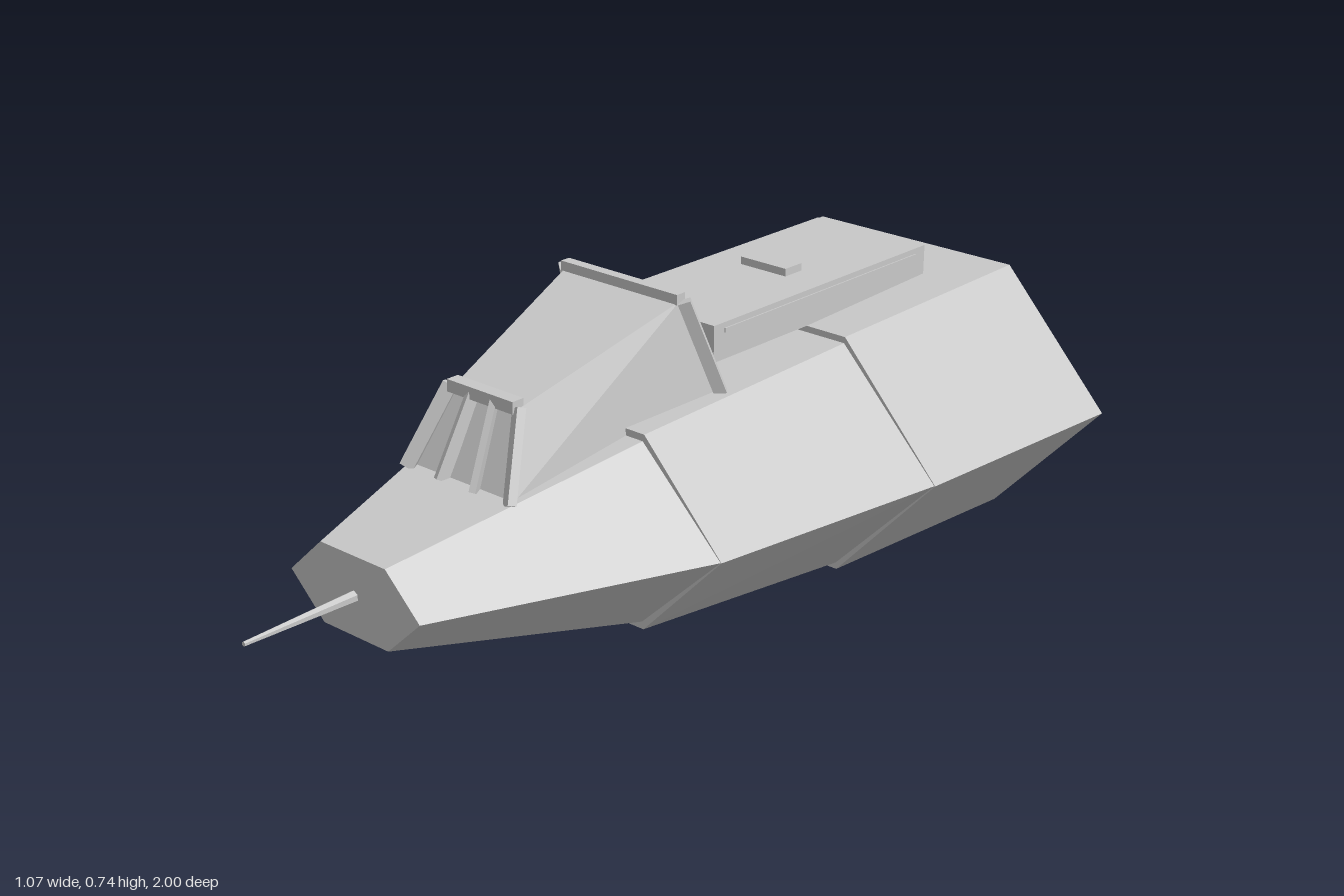
import * as THREE from 'three';

const hullGrey = new THREE.MeshStandardMaterial({ color: 0xc8c8c8 });
hullGrey.name = 'hull grey';

// Convex solid lofted between two matching rings of points; outward side is found from the centre.
function loft(a, b) {
  const n = a.length, pos = [];
  const all = [...a, ...b].map((p) => new THREE.Vector3(...p));
  const centre = all.reduce((s, p) => s.add(p), new THREE.Vector3()).divideScalar(2 * n);
  const tri = (i, j, k) => {
    const [p, q, r] = [all[i], all[j], all[k]];
    const normal = q.clone().sub(p).cross(r.clone().sub(p));
    const mid = p.clone().add(q).add(r).divideScalar(3).sub(centre);
    for (const v of normal.dot(mid) >= 0 ? [p, q, r] : [p, r, q]) pos.push(v.x, v.y, v.z);
  };
  for (let i = 0; i < n; i++) {
    const j = (i + 1) % n;
    tri(i, j, n + j);
    tri(i, n + j, n + i);
    if (i > 0 && i < n - 1) {
      tri(0, i, i + 1);
      tri(n, n + i, n + i + 1);
    }
  }
  const g = new THREE.BufferGeometry();
  g.setAttribute('position', new THREE.Float32BufferAttribute(pos, 3));
  g.computeVertexNormals();
  return g;
}

// Hexagonal hull section: waist half width, top half width, top and bottom heights.
const WAIST = 0.288;
const hex = (z, w, t, top, bottom) => [
  [w, WAIST, z], [t, top, z], [-t, top, z], [-w, WAIST, z], [-t, bottom, z], [t, bottom, z],
];

export function createModel() {
  const model = new THREE.Group();
  const add = (name, geometry, parent = model) => {
    const mesh = new THREE.Mesh(geometry, hullGrey);
    mesh.name = name;
    parent.add(mesh);
    return mesh;
  };
  const box = (name, w, h, d, x, y, z) =>
    add(name, new THREE.BoxGeometry(w, h, d)).position.set(x, y, z);
  // Straight bar between two points, w wide in x and d deep
  const bar = (name, from, to, w, d) => {
    const a = new THREE.Vector3(...from), b = new THREE.Vector3(...to);
    const dir = b.clone().sub(a), length = dir.length();
    const mesh = add(name, new THREE.BoxGeometry(w, length, d));
    mesh.position.copy(a).add(b).multiplyScalar(0.5);
    mesh.quaternion.setFromUnitVectors(new THREE.Vector3(0, 1, 0), dir.normalize());
  };

  // Three stepped hull segments
  add('noseHull', loft(hex(0.735, 0.18, 0.09, 0.373, 0.203), hex(0.16, 0.412, 0.208, 0.485, 0.092)));
  add('middleHull', loft(hex(0.16, 0.414, 0.212, 0.5, 0.076), hex(-0.42, 0.497, 0.25, 0.541, 0.034)));
  add('rearHull', loft(hex(-0.42, 0.499, 0.252, 0.555, 0.019), hex(-1, 0.533, 0.266, 0.574, 0)));

  // Nose gun
  const gun = add('noseGun', new THREE.CylinderGeometry(0.005, 0.012, 0.27, 6).toNonIndexed());
  gun.geometry.computeVertexNormals();
  gun.rotation.x = Math.PI / 2;
  gun.position.set(0, WAIST, 0.865);

  // Cabin: front ring then rear ring
  add('cabin', loft(
    [[0.09, 0.587, 0.378], [-0.09, 0.587, 0.378], [-0.135, 0.42, 0.452], [0.135, 0.42, 0.452]],
    [[0.155, 0.718, -0.005], [-0.155, 0.718, -0.005], [-0.195, 0.49, -0.085], [0.195, 0.49, -0.085]],
  ));

  // Cabin frames
  box('frontHeader', 0.18, 0.026, 0.03, 0, 0.592, 0.383);
  box('rearHeader', 0.316, 0.022, 0.024, 0, 0.724, -0.006);
  for (const s of [1, -1]) {
    bar('frontPost', [s * 0.094, 0.59, 0.384], [s * 0.142, 0.425, 0.462], 0.018, 0.03);
    bar('rearPost', [s * 0.165, 0.72, -0.008], [s * 0.202, 0.505, -0.086], 0.018, 0.026);
    // Windscreen ribs
    bar('windscreenRib', [s * 0.03, 0.588, 0.385], [s * 0.046, 0.424, 0.462], 0.014, 0.026);
  }

  // Rear deck hatch with side strips and handle
  box('deckHatch', 0.3, 0.08, 0.715, 0, 0.595, -0.4755);
  box('hatchStrip', 0.306, 0.009, 0.65, 0, 0.618, -0.475);
  box('hatchHandle', 0.124, 0.018, 0.054, -0.002, 0.643, -0.483);

  return model;
}
